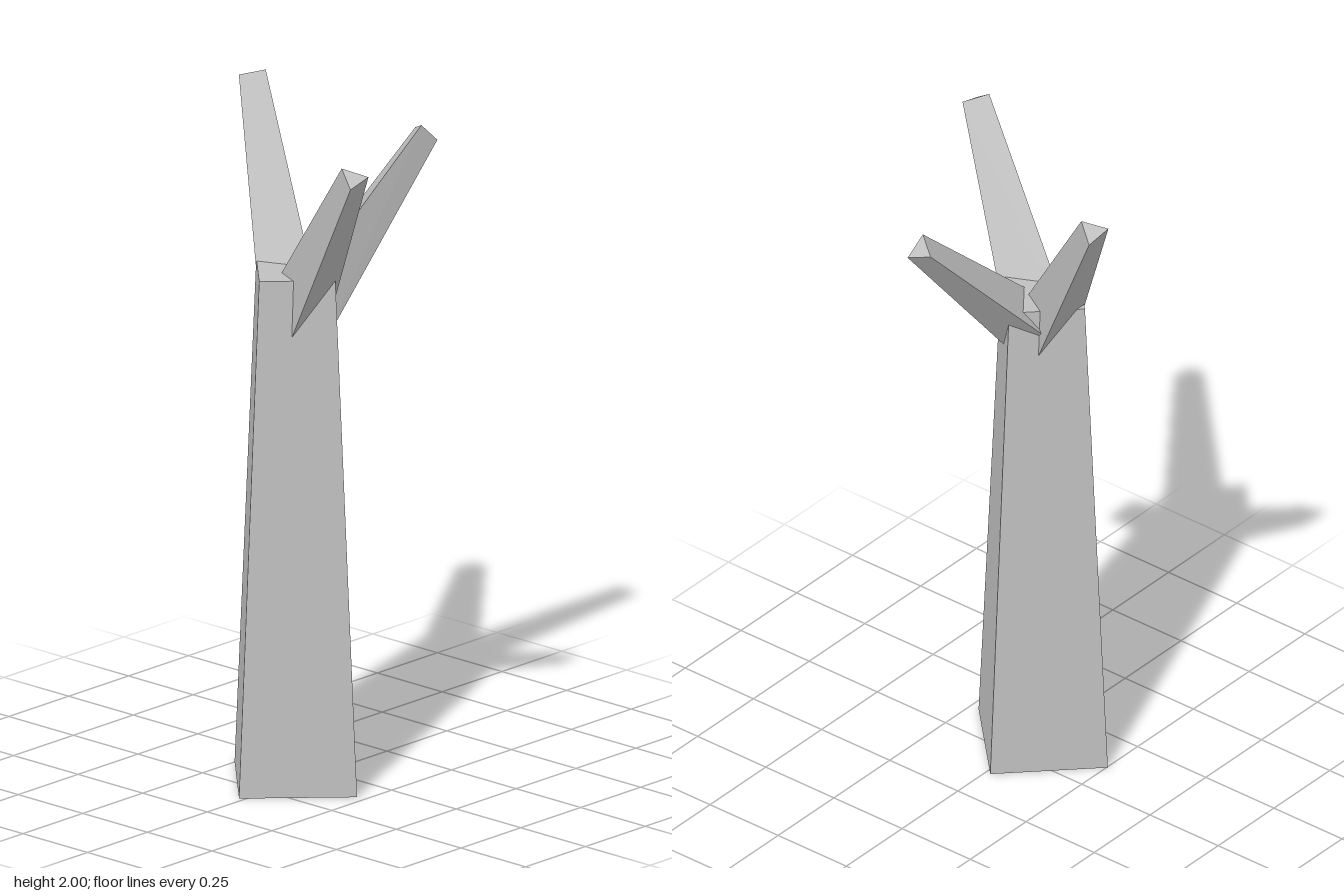
import * as THREE from 'three';

const bark = new THREE.MeshStandardMaterial({ color: 0xc0c0c0, flatShading: true, side: THREE.DoubleSide });
bark.name = 'pale grey bark';

// Three-sided tapering limb lofted from a base triangle to a tip triangle,
// corners listed counter-clockwise as seen from beyond the tip
function limbGeometry(tip, base) {
  const positions = [...tip.flat()];
  for (let i = 0; i < 3; i++) {
    const j = (i + 1) % 3;
    positions.push(...tip[i], ...base[i], ...base[j]);
    positions.push(...tip[i], ...base[j], ...tip[j]);
  }
  const geometry = new THREE.BufferGeometry();
  geometry.setAttribute('position', new THREE.Float32BufferAttribute(positions, 3));
  geometry.computeVertexNormals();
  return geometry;
}

const BRANCHES = [
  {
    name: 'rightBranch',
    tip: [[-0.387, 1.96, -0.135], [-0.395, 1.98, -0.058], [-0.33, 2.0, -0.1]],
    base: [[-0.046, 1.316, 0.031], [-0.064, 1.361, 0.205], [0.086, 1.406, 0.113]],
  },
  {
    name: 'leftBranch',
    tip: [[0.335, 1.95, 0.3], [0.392, 1.905, 0.325], [0.392, 1.925, 0.25]],
    base: [[-0.143, 1.384, 0.118], [-0.002, 1.268, 0.185], [0.001, 1.321, 0.003]],
  },
  {
    name: 'backBranch',
    tip: [[0.028, 1.85, -0.338], [0.09, 1.88, -0.297], [0.1, 1.825, -0.353]],
    base: [[-0.126, 1.344, 0.117], [0.018, 1.414, 0.212], [0.046, 1.281, 0.083]],
  },
];

export function createModel() {
  const model = new THREE.Group();
  model.name = 'bareTree';

  const add = (name, geometry, parent) => {
    const mesh = new THREE.Mesh(geometry, bark);
    mesh.name = name;
    parent.add(mesh);
    return mesh;
  };

  // Four-sided trunk, open underneath and capped on top
  const height = 1.525, topRadius = 0.153, bottomRadius = 0.237;
  const trunk = new THREE.Group();
  trunk.name = 'trunk';
  trunk.position.set(-0.016, 0, 0.113);
  add('trunkSides', new THREE.CylinderGeometry(topRadius, bottomRadius, height, 4, 1, true), trunk)
    .position.y = height / 2;
  add('trunkTop', new THREE.CircleGeometry(topRadius, 4).rotateX(-Math.PI / 2), trunk)
    .position.y = height;
  model.add(trunk);

  // Branches rooted inside the top of the trunk
  for (const { name, tip, base } of BRANCHES) add(name, limbGeometry(tip, base), model);

  return model;
}
